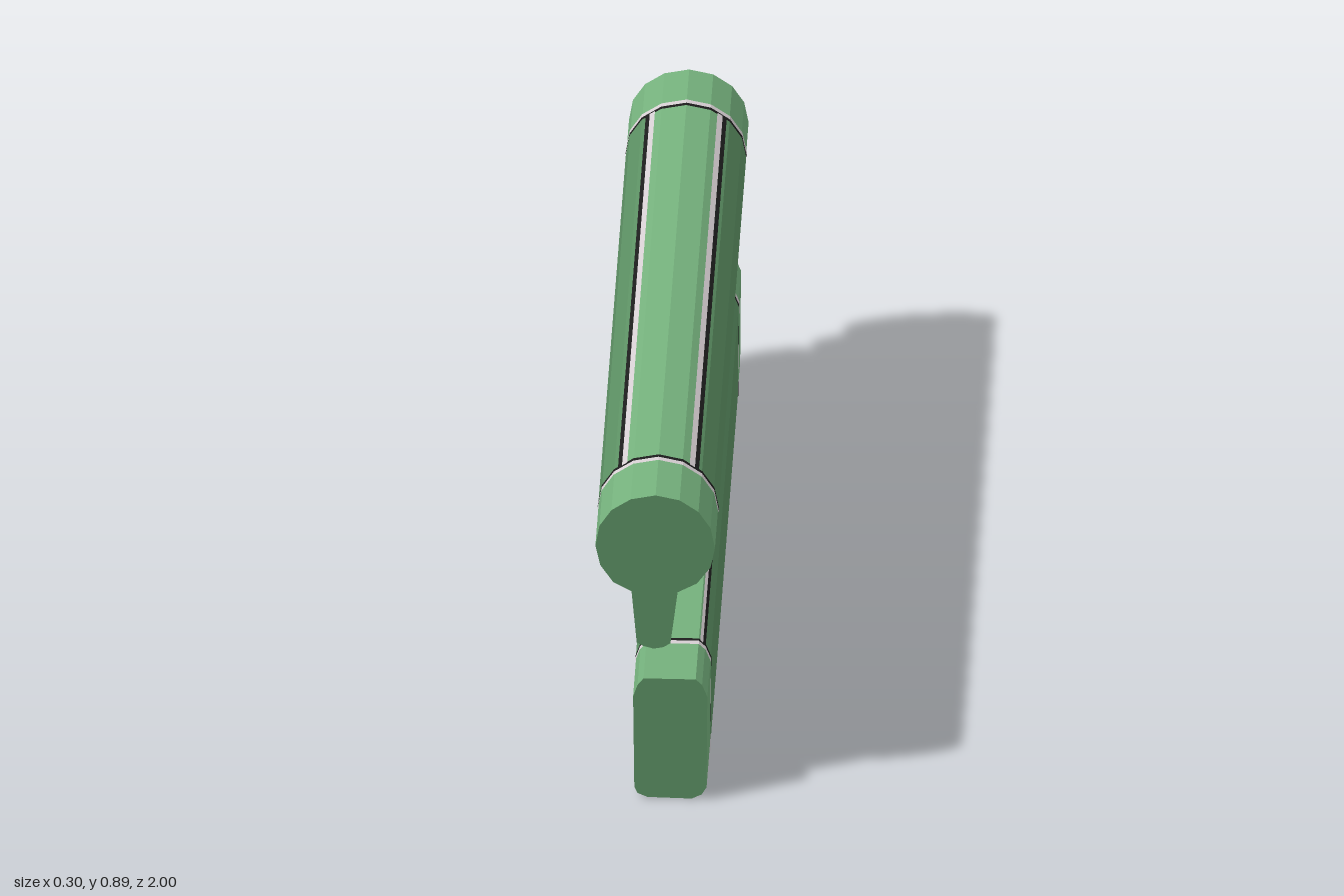
import * as THREE from 'three';

const mat = (name, color) => {
  const m = new THREE.MeshStandardMaterial({ color });
  m.name = name;
  return m;
};

export function createModel() {
  const light = mat('light green', 0x74b07c);
  const dark = mat('dark green', 0x5c9063);
  const white = mat('pale trim', 0xd6ced2);
  const black = mat('black trim', 0x1c1c1c);
  const model = new THREE.Group();
  model.name = 'model';

  const add = (parent, name, geo, m) => {
    const mesh = new THREE.Mesh(geo, m);
    mesh.name = name;
    parent.add(mesh);
    return mesh;
  };

  // Faceted prism along z: dark end faces, light sides
  const prism = (points) => {
    const shape = new THREE.Shape(points.map(([x, y]) => new THREE.Vector2(x, y)));
    const geo = new THREE.ExtrudeGeometry(shape, { depth: 2, bevelEnabled: false });
    return geo.translate(0, 0, -1);
  };

  // Thin skin just outside a counter-clockwise path, running from z0 to z1
  const skin = (path, z0, z1, lift, closed = false) => {
    const n = path.length;
    const normal = (i) => {
      const a = path[(i + n) % n], b = path[(i + 1) % n];
      return new THREE.Vector2(b[1] - a[1], a[0] - b[0]).normalize();
    };
    const pts = path.map(([x, y], i) => {
      const v = new THREE.Vector2();
      if (closed || i > 0) v.add(normal(i - 1));
      if (closed || i < n - 1) v.add(normal(i));
      v.normalize().multiplyScalar(lift);
      return [x + v.x, y + v.y];
    });
    const pos = [];
    for (let i = 0; i < (closed ? n : n - 1); i++) {
      const p = pts[i], q = pts[(i + 1) % n];
      pos.push(...p, z0, ...q, z0, ...q, z1, ...p, z0, ...q, z1, ...p, z1);
    }
    const geo = new THREE.BufferGeometry();
    geo.setAttribute('position', new THREE.Float32BufferAttribute(pos, 3));
    geo.computeVertexNormals();
    return geo;
  };

  const Z0 = -0.835, Z1 = 0.815;

  // Long body with two side panels, each edged in black and white
  const body = (name, profile, panels, edges) => {
    const group = new THREE.Group();
    group.name = name;
    add(group, 'core', prism(profile), [dark, light]);
    panels.forEach((p) => add(group, 'sidePanel', skin(p, Z0, Z1, 0.001), dark));
    edges.forEach(([color, a, b]) =>
      add(group, 'panelTrim', skin([a, b], Z0, Z1, 0.0025), color));
    [[black, Z0 - 0.006, Z0 + 0.005], [white, Z0 - 0.021, Z0 - 0.006],
      [black, Z1 - 0.005, Z1 + 0.006], [white, Z1 + 0.006, Z1 + 0.021]].forEach(([color, a, b]) =>
      add(group, 'endBand', skin(profile, a, b, 0.002, true), color));
    model.add(group);
  };

  // Upper body: round bar with a tapering neck below
  const leftArc = [[-0.11, 0.842], [-0.14, 0.795], [-0.15, 0.737], [-0.138, 0.68], [-0.105, 0.63], [-0.06, 0.605]];
  const rightArc = [[0.055, 0.605], [0.103, 0.632], [0.137, 0.68], [0.148, 0.737], [0.137, 0.795], [0.107, 0.842]];
  body('upperBar',
    [[0, 0.888], [-0.062, 0.875], ...leftArc, [-0.047, 0.455], [-0.03, 0.445], [-0.005, 0.438],
      [0.02, 0.443], [0.037, 0.455], ...rightArc, [0.06, 0.875]],
    [[[-0.096, 0.852], ...leftArc, [-0.0515, 0.51]],
      [[0.0425, 0.51], ...rightArc, [0.094, 0.851]]],
    [[white, [-0.077, 0.865], [-0.09, 0.856]], [black, [-0.09, 0.856], [-0.1, 0.849]],
      [black, [-0.052, 0.515], [-0.051, 0.503]], [white, [-0.051, 0.503], [-0.05, 0.489]],
      [white, [0.041, 0.489], [0.0425, 0.503]], [black, [0.0425, 0.503], [0.0435, 0.515]],
      [black, [0.099, 0.848], [0.089, 0.855]], [white, [0.089, 0.855], [0.076, 0.864]]]);

  // Lower body: tall slab with eased corners
  const leftWall = [[-0.045, 0.33], [-0.056, 0.297], [-0.053, 0.032], [-0.045, 0.013]];
  const rightWall = [[0.115, 0.013], [0.127, 0.034], [0.129, 0.3], [0.116, 0.334]];
  body('lowerSlab',
    [[0.1, 0.35], [-0.03, 0.35], ...leftWall, [-0.02, 0.002], [0.09, 0], ...rightWall],
    [leftWall, rightWall],
    [[white, [-0.031, 0.349], [-0.037, 0.341]], [black, [-0.037, 0.341], [-0.044, 0.332]],
      [black, [-0.044, 0.0125], [-0.036, 0.009]], [white, [-0.036, 0.009], [-0.027, 0.005]],
      [white, [0.097, 0.004], [0.106, 0.008]], [black, [0.106, 0.008], [0.114, 0.0125]],
      [black, [0.1155, 0.3345], [0.109, 0.341]], [white, [0.109, 0.341], [0.102, 0.348]]]);

  // Brackets joining the two bodies, tapered towards the bottom
  const bracketGeometry = () => {
    const geo = new THREE.BoxGeometry(0.195, 0.105, 0.2, 1, 2, 1).toNonIndexed();
    const p = geo.attributes.position;
    for (let i = 0; i < p.count; i++) {
      const y = p.getY(i);
      const low = y < -0.01;
      p.setXYZ(i, p.getX(i) * (low ? 0.69 : 1) - 0.0125,
        low ? 0.35 : y > 0.01 ? 0.455 : 0.395, p.getZ(i) * (low ? 0.7 : 1));
    }
    geo.computeVertexNormals();
    return geo;
  };
  for (const z of [0.49, -0.45]) {
    const bracket = new THREE.Group();
    bracket.name = 'bracket';
    bracket.position.z = z;
    add(bracket, 'bracketBlock', bracketGeometry(), [light, light, light, light, dark, dark]);
    // Outline trim on both ends
    for (const s of [1, -1]) {
      const bar = (color, x, y, w, h, end) => add(bracket, 'bracketTrim',
        new THREE.BoxGeometry(w, h, 0.003), color).position.set(x, y, s * end);
      bar(white, -0.0125, 0.43, 0.145, 0.005, 0.1);
      bar(black, -0.0125, 0.425, 0.145, 0.003, 0.1);
      bar(black, -0.087, 0.414, 0.004, 0.03, 0.1);
      bar(black, 0.062, 0.414, 0.004, 0.03, 0.1);
      bar(black, -0.0125, 0.367, 0.11, 0.003, 0.082);
      bar(white, -0.0125, 0.363, 0.1, 0.003, 0.079);
    }
    model.add(bracket);
  }
  return model;
}
